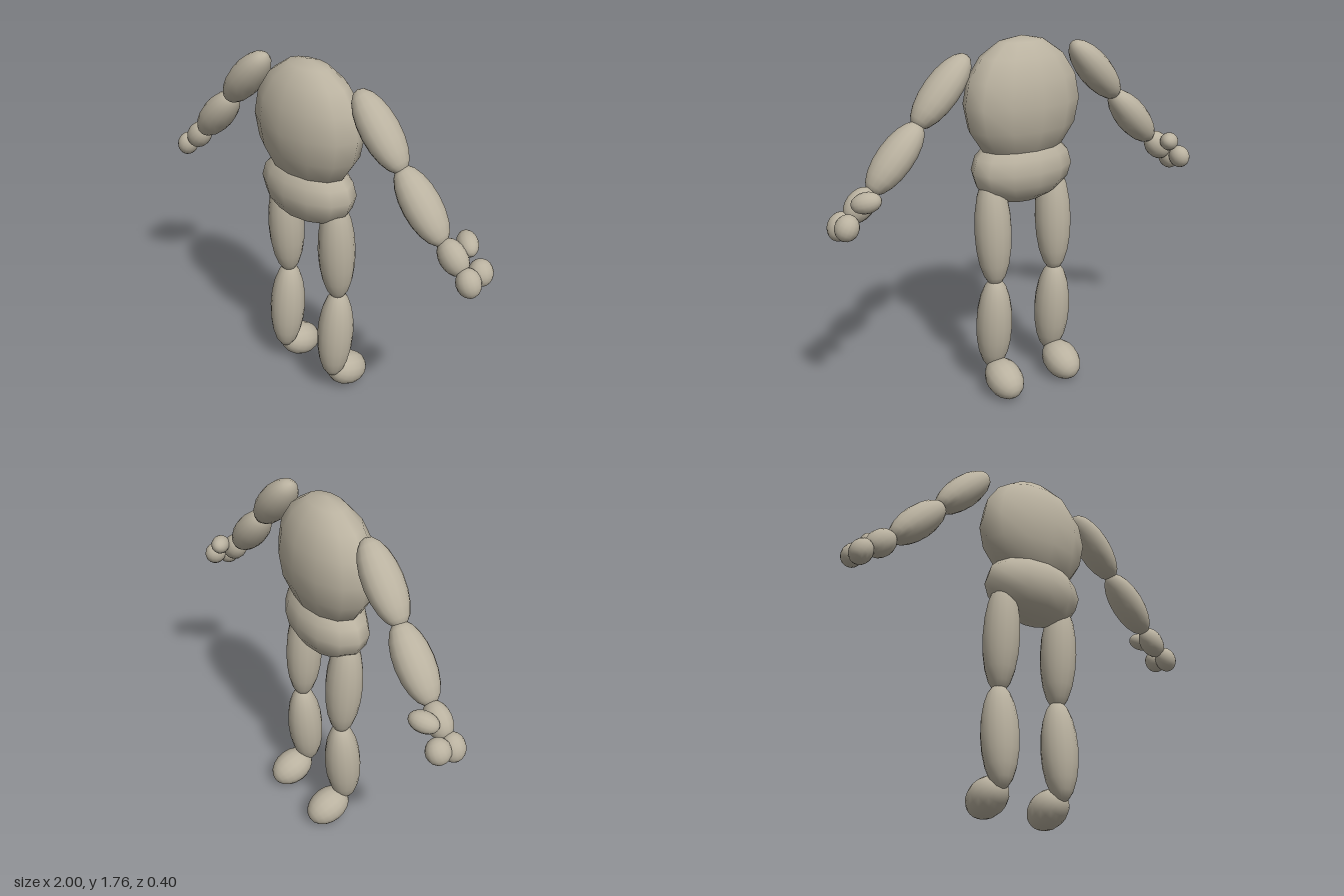
import * as THREE from 'three';

export function createModel() {
  const model = new THREE.Group();
  model.name = 'jointedFigure';

  const clay = new THREE.MeshStandardMaterial({ color: 0xbab2a0 });
  clay.name = 'warmGreyClay';

  const bodyBall = new THREE.SphereGeometry(1, 12, 8);
  const limbBall = new THREE.SphereGeometry(1, 16, 10);

  // Ellipsoid whose local y axis is turned to point along axis
  function ellipsoid(name, geometry, position, radii, axis = [0, 1, 0]) {
    const mesh = new THREE.Mesh(geometry, clay);
    mesh.name = name;
    mesh.position.set(...position);
    mesh.scale.set(...radii);
    mesh.quaternion.setFromUnitVectors(
      new THREE.Vector3(0, 1, 0), new THREE.Vector3(...axis).normalize());
    return mesh;
  }

  // Trunk
  model.add(ellipsoid('chest', bodyBall, [0, 1.467, 0.018], [0.306, 0.303, 0.183]));
  model.add(ellipsoid('pelvis', bodyBall, [0, 1.15, 0.019], [0.27, 0.172, 0.164]));

  // Limb parts: name, centre, radii (y is the long one), long axis
  const limbParts = [
    ['upperArm', [0.428, 1.563, 0.014], [0.08, 0.201, 0.092], [-0.68, 0.73, 0]],
    ['forearm', [0.668, 1.3, 0.008], [0.08, 0.19, 0.09], [-0.68, 0.73, 0]],
    ['palm', [0.847, 1.123, 0.002], [0.064, 0.087, 0.06], [-0.7, 0.71, 0]],
    ['frontFinger', [0.942, 1.043, 0.01], [0.054, 0.066, 0.056], [-0.4, 0.9, 0]],
    ['backFinger', [0.943, 1.06, -0.069], [0.052, 0.06, 0.057], [-0.4, 0.9, -0.2]],
    ['thumb', [0.854, 1.158, -0.081], [0.047, 0.068, 0.047], [0.75, -0.25, 0.6]],
    ['thigh', [0.175, 0.86, 0.003], [0.09, 0.285, 0.091], [0, 1, 0.05]],
    ['shin', [0.175, 0.367, 0.003], [0.09, 0.256, 0.091], [0, 1, -0.07]],
    ['foot', [0.175, 0.1, -0.086], [0.09, 0.118, 0.09], [0, -0.34, -0.94]],
  ];

  // Both sides, mirrored across x
  for (const [sideName, s] of [['left', 1], ['right', -1]]) {
    const limbs = new THREE.Group();
    limbs.name = sideName + 'Limbs';
    for (const [name, [x, y, z], radii, [ax, ay, az]] of limbParts) {
      const label = sideName + name[0].toUpperCase() + name.slice(1);
      limbs.add(ellipsoid(label, limbBall, [s * x, y, z], radii, [s * ax, ay, az]));
    }
    model.add(limbs);
  }

  return model;
}
